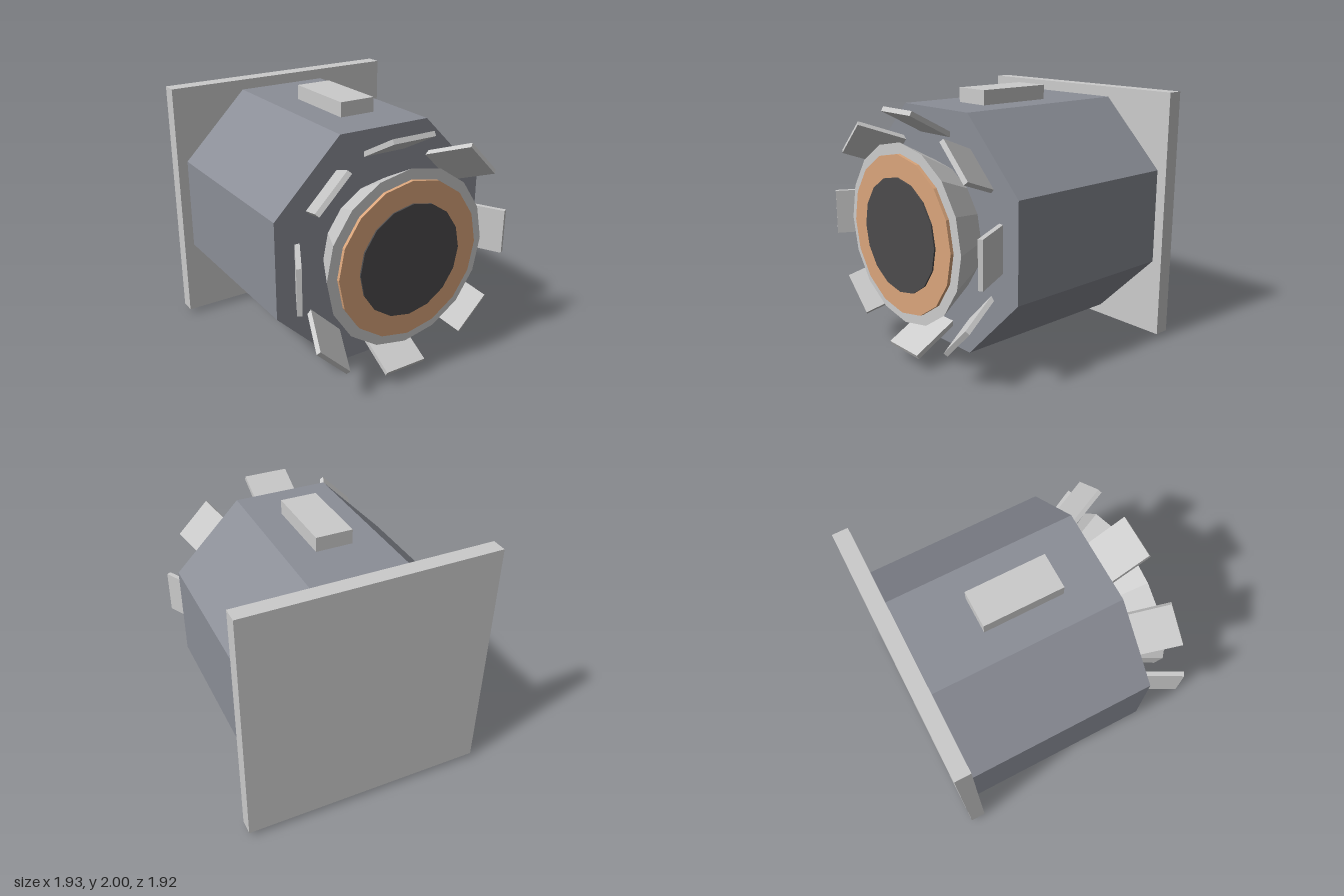
import * as THREE from 'three';

const CY = 1.005; // height of the main axis

const mat = (color) => new THREE.MeshStandardMaterial({ color, flatShading: true });

export function createModel() {
  const model = new THREE.Group();
  const grey = mat(0xcccccc);
  const bodyGrey = mat(0x8b8e97);
  const copper = mat(0xdaa57b);
  const dark = mat(0x4c4b4c);

  const add = (name, geometry, material, x = 0, y = 0, z = 0, parent = model) => {
    const mesh = new THREE.Mesh(geometry, material);
    mesh.name = name;
    mesh.position.set(x, y, z);
    parent.add(mesh);
    return mesh;
  };

  // Prism or cone along z, from zBack to zFront
  const barrel = (name, material, rFront, rBack, zBack, zFront, sides, turn = 0) => {
    const g = new THREE.CylinderGeometry(rFront, rBack, zFront - zBack, sides);
    g.rotateY(turn).rotateX(Math.PI / 2);
    return add(name, g, material, 0, CY, (zBack + zFront) / 2);
  };

  // Octagonal housing with flat top and sides
  const rBody = 0.885 / Math.cos(Math.PI / 8);
  barrel('body', bodyGrey, rBody, rBody, -0.84, 0.61, 8, Math.PI / 8);

  // Square mounting plate at the back
  add('backPlate', new THREE.BoxGeometry(1.93, 1.93, 0.12), grey, 0, CY, -0.9);

  // Blocks on the top and bottom faces
  for (const [name, y] of [['topBlock', 1.925], ['bottomBlock', 0.075]]) {
    add(name, new THREE.BoxGeometry(0.28, 0.15, 0.61), grey, 0, y, -0.035);
  }

  // Flared nozzle with stacked front discs
  barrel('nozzle', grey, 0.67, 0.5, 0.6, 0.92, 16);
  barrel('copperRing', copper, 0.59, 0.59, 0.915, 0.945, 16);
  barrel('centreDisc', dark, 0.425, 0.425, 0.94, 0.957, 16);

  // Eight tilted petals around the nozzle
  const petalGeometry = new THREE.BoxGeometry(0.345, 0.036, 0.42);
  petalGeometry.translate(0, 0, -0.21).rotateX(-0.49);
  const petals = new THREE.Group();
  petals.name = 'petals';
  petals.position.y = CY;
  model.add(petals);
  for (let i = 0; i < 8; i++) {
    const arm = new THREE.Group();
    arm.name = 'petalArm';
    arm.rotation.z = (i * Math.PI) / 4;
    petals.add(arm);
    add('petal', petalGeometry, grey, 0, 0.889, 0.94, arm);
  }

  return model;
}
